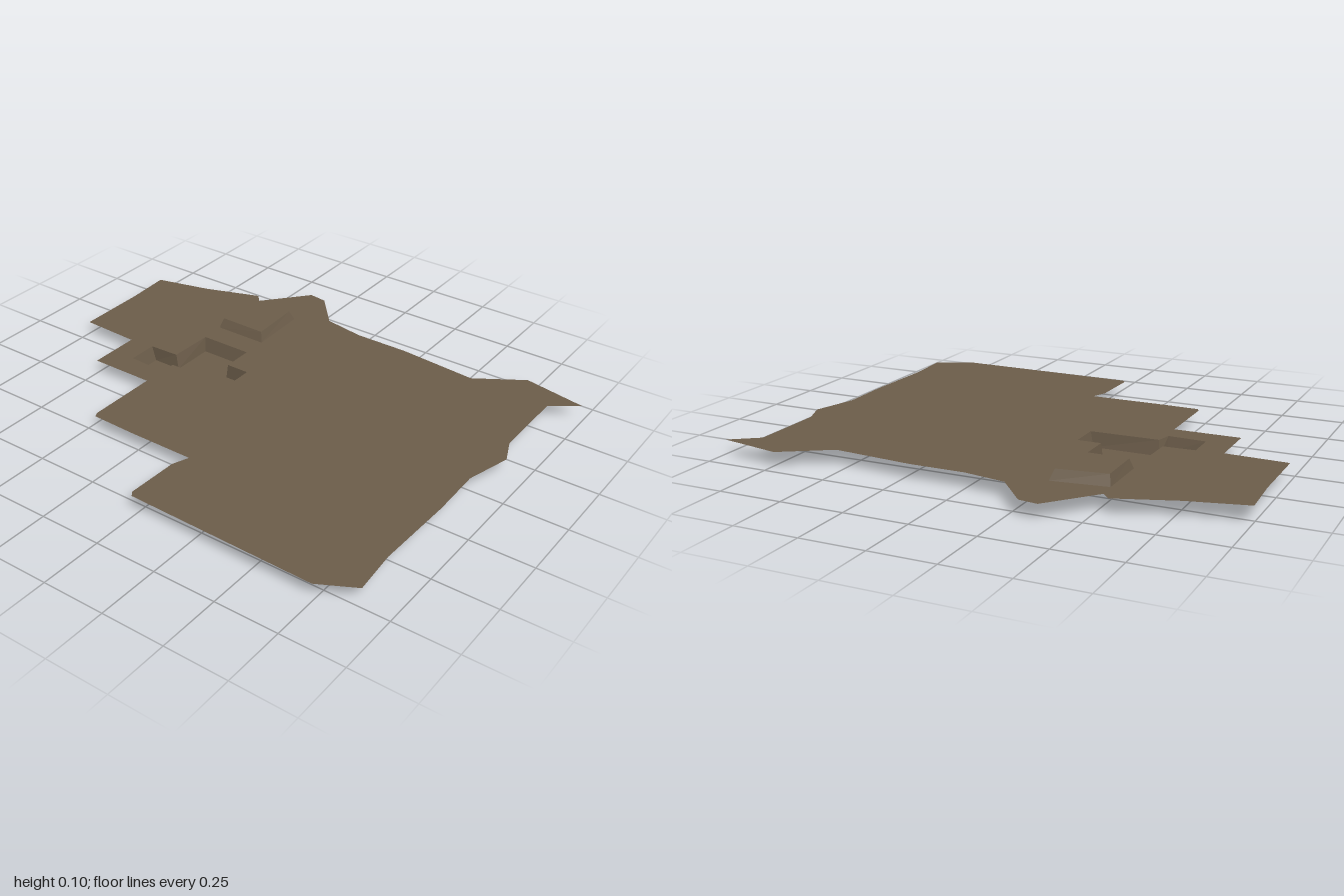
import * as THREE from 'three';

const GROUND = 0.06, PIT = 0, TOP = 0.1;

// All outlines are [x, z], clockwise seen from above
const outline = [
  [0.04, -0.99], [0.33, -0.99], [0.52, -1], [0.575, -0.775], [0.655, -0.55], [0.62, -0.52],
  [0.8, -0.365], [0.79, -0.29], [0.65, -0.17], [0.62, 0], [0.62, 0.22], [0.59, 0.545],
  [0.71, 0.735], [0.66, 0.99], [0.58, 0.88], [0.27, 0.88], [0.17, 0.92], [-0.01, 0.87],
  [-0.22, 0.875], [-0.55, 0.865], [-0.73, 0.88], [-0.805, 0.74], [-0.79, -0.025], [-0.77, -0.04],
  [-0.56, -0.035], [-0.495, -0.01], [-0.495, -0.29], [-0.49, -0.47], [-0.47, -0.48],
  [-0.18, -0.48], [-0.18, -0.745], [0.03, -0.745],
];
const pitRim = [
  [-0.08, -0.64], [0.04, -0.64], [0.045, -0.515], [0.23, -0.51], [0.23, -0.295],
  [0.105, -0.295], [0.105, -0.2], [-0.02, -0.2], [-0.025, -0.475], [-0.087, -0.49],
];
const pitFloor = [
  [-0.072, -0.622], [0.04, -0.622], [0.04, -0.502], [0.217, -0.502], [0.217, -0.303],
  [0.103, -0.303], [0.103, -0.215], [-0.014, -0.215], [-0.014, -0.482], [-0.076, -0.49],
];
const moundBase = [[0.33, -0.513], [0.548, -0.515], [0.576, -0.3], [0.33, -0.293]];
const moundTop = [[0.347, -0.502], [0.53, -0.505], [0.558, -0.315], [0.345, -0.306]];

const toPoints = (loop) => loop.map(([x, z]) => new THREE.Vector2(x, -z));

// Horizontal sheet with optional holes
function sheet(loop, y, holes = []) {
  const shape = new THREE.Shape(toPoints(loop));
  holes.forEach((h) => shape.holes.push(new THREE.Path(toPoints(h))));
  return new THREE.ShapeGeometry(shape).rotateX(-Math.PI / 2).translate(0, y, 0);
}

// Sloping walls joining two matching loops
function walls(inner, innerY, rim, rimY) {
  const pos = [];
  inner.forEach((p, i) => {
    const j = (i + 1) % inner.length;
    const a = [p[0], innerY, p[1]], b = [inner[j][0], innerY, inner[j][1]];
    const c = [rim[j][0], rimY, rim[j][1]], d = [rim[i][0], rimY, rim[i][1]];
    pos.push(...a, ...b, ...c, ...a, ...c, ...d);
  });
  const geo = new THREE.BufferGeometry();
  geo.setAttribute('position', new THREE.Float32BufferAttribute(pos, 3));
  geo.computeVertexNormals();
  return geo;
}

export function createModel() {
  const group = new THREE.Group();
  group.name = 'groundPatch';
  const earth = new THREE.MeshStandardMaterial({ color: 0x6c5d4a, side: THREE.DoubleSide });
  earth.name = 'earthBrown';

  const add = (name, geo) => {
    const mesh = new THREE.Mesh(geo, earth);
    mesh.name = name;
    group.add(mesh);
  };

  add('ground', sheet(outline, GROUND, [pitRim, moundBase]));
  // Sunken pit
  add('pitFloor', sheet(pitFloor, PIT));
  add('pitWalls', walls(pitFloor, PIT, pitRim, GROUND));
  // Raised hollow mound
  add('moundTop', sheet(moundTop, TOP));
  add('moundSides', walls(moundTop, TOP, moundBase, GROUND));
  return group;
}
